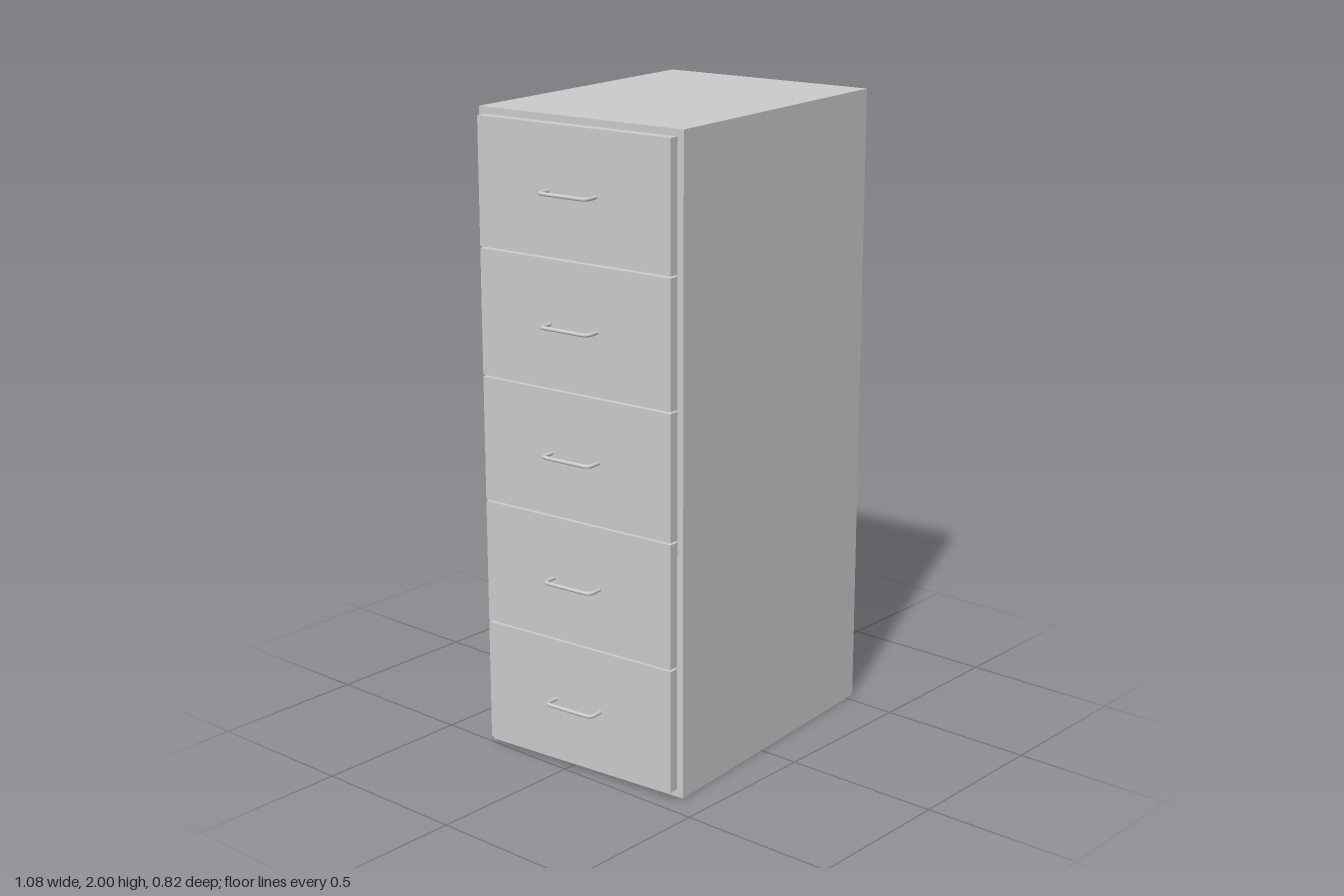
import * as THREE from 'three';

const material = new THREE.MeshStandardMaterial({ color: 0xcccccc });

function addBox(parent, name, size, position) {
  const mesh = new THREE.Mesh(new THREE.BoxGeometry(...size), material);
  mesh.name = name;
  mesh.position.set(...position);
  parent.add(mesh);
}

// Bent-rod pull: two legs, rounded corners and a straight grip, projecting toward -x
function handleGeometry(reach, half, bend) {
  const p = (x, z) => new THREE.Vector3(x, 0, z);
  const path = new THREE.CurvePath();
  path.add(new THREE.LineCurve3(p(0.004, -half), p(-reach + bend, -half)));
  path.add(new THREE.QuadraticBezierCurve3(p(-reach + bend, -half), p(-reach, -half), p(-reach, -half + bend)));
  path.add(new THREE.LineCurve3(p(-reach, -half + bend), p(-reach, half - bend)));
  path.add(new THREE.QuadraticBezierCurve3(p(-reach, half - bend), p(-reach, half), p(-reach + bend, half)));
  path.add(new THREE.LineCurve3(p(-reach + bend, half), p(0.004, half)));
  return new THREE.TubeGeometry(path, 60, 0.006, 12);
}

export function createModel() {
  const model = new THREE.Group();
  model.name = 'drawerCabinet';

  // The whole cabinet stands slightly turned
  const cabinet = new THREE.Group();
  cabinet.name = 'cabinet';
  cabinet.position.set(0.028, 0, -0.0025);
  cabinet.rotation.y = 0.0887;
  model.add(cabinet);

  const width = 0.961, depth = 0.733, frontX = -width / 2;
  addBox(cabinet, 'cabinetBody', [width, 2, depth], [0, 1, 0]);

  // Five drawers with pulls on the -x side
  const pitch = 0.392, thickness = 0.033;
  const pull = handleGeometry(0.048, 0.086, 0.02);
  for (let i = 0; i < 5; i++) {
    const y = 1.002 + (i - 2) * pitch;
    const drawer = new THREE.Group();
    drawer.name = `drawer${i + 1}`;
    drawer.position.set(frontX, y, 0);
    addBox(drawer, 'drawerFront', [thickness, pitch - 0.006, 0.691], [-thickness / 2, 0, 0]);
    const handle = new THREE.Mesh(pull, material);
    handle.name = 'handle';
    handle.position.x = -thickness;
    drawer.add(handle);
    cabinet.add(drawer);
  }
  return model;
}
